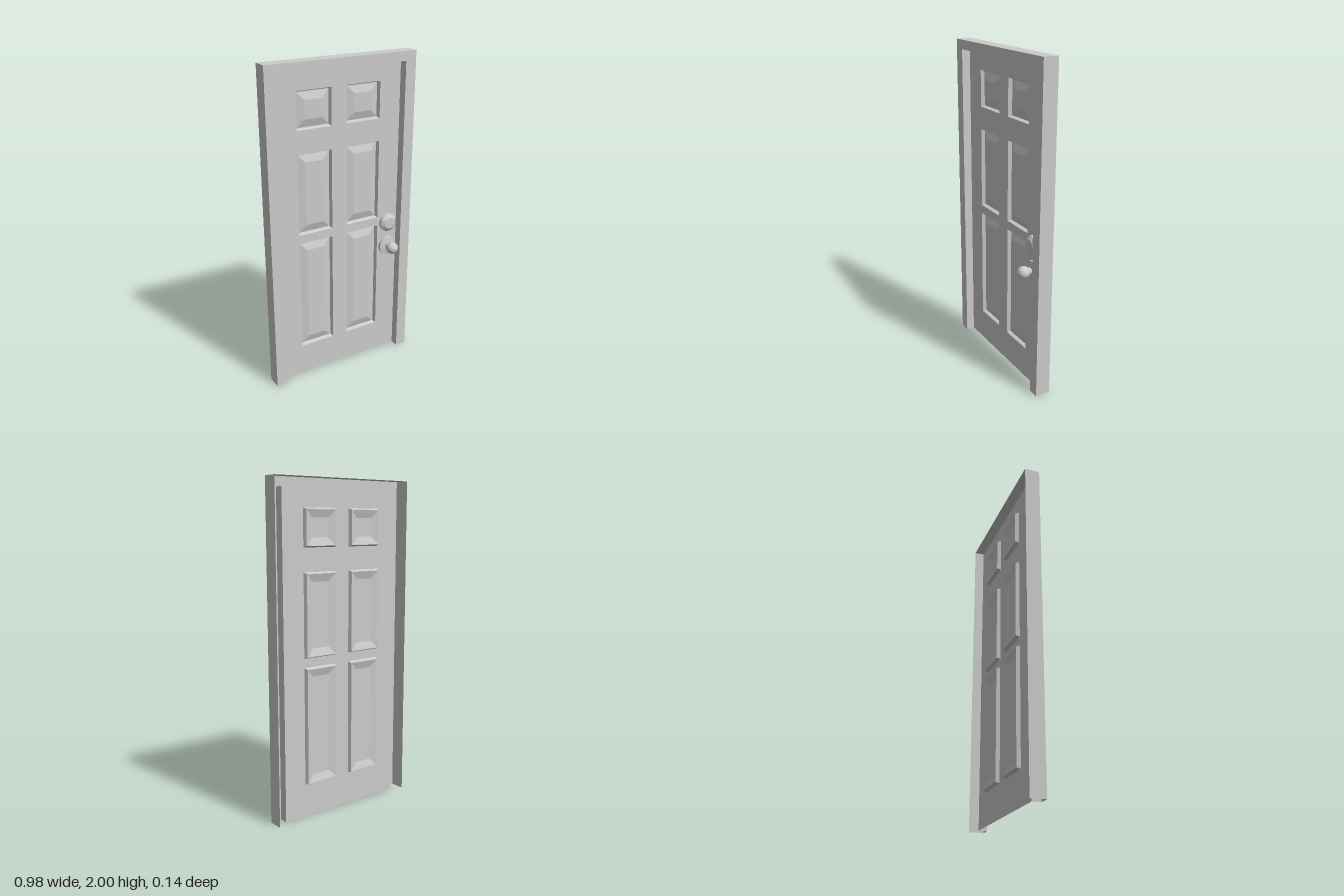
import * as THREE from 'three';

const BACK = -0.072, FRONT = 0.02, SHEET = -0.033;
const flat = new THREE.MeshStandardMaterial({ color: 0xcccccc, side: THREE.DoubleSide, flatShading: true });
const smooth = new THREE.MeshStandardMaterial({ color: 0xcccccc, side: THREE.DoubleSide });

function addMesh(parent, name, geometry, material) {
  const mesh = new THREE.Mesh(geometry, material);
  mesh.name = name;
  parent.add(mesh);
  return mesh;
}

// Skin between successive point loops; `closed` joins each loop's ends, `cap` fills the last one (4 points)
function skin(loops, closed, cap) {
  const pos = [];
  const quad = (a, b, c, d) => pos.push(...a, ...b, ...c, ...a, ...c, ...d);
  for (let i = 0; i < loops.length - 1; i++) {
    const p = loops[i], q = loops[i + 1], n = p.length;
    for (let j = 0; j < (closed ? n : n - 1); j++) {
      const k = (j + 1) % n;
      quad(p[j], p[k], q[k], q[j]);
    }
  }
  if (cap) quad(...loops[loops.length - 1]);
  const g = new THREE.BufferGeometry();
  g.setAttribute('position', new THREE.Float32BufferAttribute(pos, 3));
  g.computeVertexNormals();
  return g;
}

// Upside-down U, from the left foot over the head to the right foot
const arch = (x, top, z) => [[x, 0, z], [x, top, z], [-x, top, z], [-x, 0, z]];

// Counter-clockwise rectangle around a panel, moved in by an inset
const rect = ([x0, y0, x1, y1], inset, z) => [
  [x0 + inset, y0 + inset, z], [x1 - inset, y0 + inset, z],
  [x1 - inset, y1 - inset, z], [x0 + inset, y1 - inset, z],
];

// Turned fitting whose axis points to the front; profile is [radius, z], each band keeps a sharp edge
function turned(parent, name, y, bands) {
  const group = new THREE.Group();
  group.name = name;
  group.position.set(0.35, y, 0);
  for (const [part, ...profile] of bands) {
    const g = new THREE.LatheGeometry(profile.map(([r, z]) => new THREE.Vector2(r, z)), 40);
    addMesh(group, part, g.rotateX(Math.PI / 2), smooth);
  }
  parent.add(group);
  return group;
}

export function createModel() {
  const model = new THREE.Group();
  model.name = 'panelDoor';

  // Frame: hollow channel, open at the back and the feet
  addMesh(model, 'doorFrame', skin([
    arch(0.49, 2, BACK), arch(0.49, 2, FRONT),
    arch(0.42, 1.943, FRONT), arch(0.42, 1.943, SHEET),
  ], false), flat);

  // Door leaf: a single sheet with six panel openings
  const panels = [];
  for (const [y0, y1] of [[0.2, 0.915], [0.97, 1.47], [1.61, 1.833]]) {
    panels.push([0.05, y0, 0.277, y1], [-0.28, y0, -0.053, y1]);
  }
  const points = (loop) => loop.map(([x, y]) => new THREE.Vector2(x, y));
  const leaf = new THREE.Shape(points(rect([-0.42, 0, 0.42, 1.943], 0, 0)));
  for (const p of panels) leaf.holes.push(new THREE.Path(points(rect(p, 0, 0).reverse())));
  addMesh(model, 'doorLeaf', new THREE.ShapeGeometry(leaf).translate(0, 0, SHEET), flat);

  // Pressed panels: steep wall, groove, bevel up to a raised field
  for (const p of panels) {
    addMesh(model, 'raisedPanel', skin([
      rect(p, 0, SHEET), rect(p, 0.008, SHEET - 0.022),
      rect(p, 0.011, SHEET - 0.022), rect(p, 0.056, SHEET - 0.008),
    ], true, true), flat);
  }

  // Deadbolt: rose with a tapered cylinder face
  turned(model, 'deadbolt', 0.925, [
    ['deadboltRim', [0.057, SHEET], [0.057, -0.014]],
    ['deadboltTaper', [0.057, -0.014], [0.036, 0.001]],
    ['deadboltFace', [0.036, 0.001], [0, 0.001]],
  ]);

  // Knob: rose, neck and ball
  const knob = turned(model, 'doorKnob', 0.765, [
    ['knobRoseRim', [0.06, SHEET], [0.06, -0.016]],
    ['knobRoseFace', [0.06, -0.016], [0.022, -0.01]],
    ['knobNeck', [0.02, -0.012], [0.02, 0.01]],
  ]);
  addMesh(knob, 'knobBall', new THREE.SphereGeometry(0.038, 32, 20), smooth).position.z = 0.034;

  return model;
}
